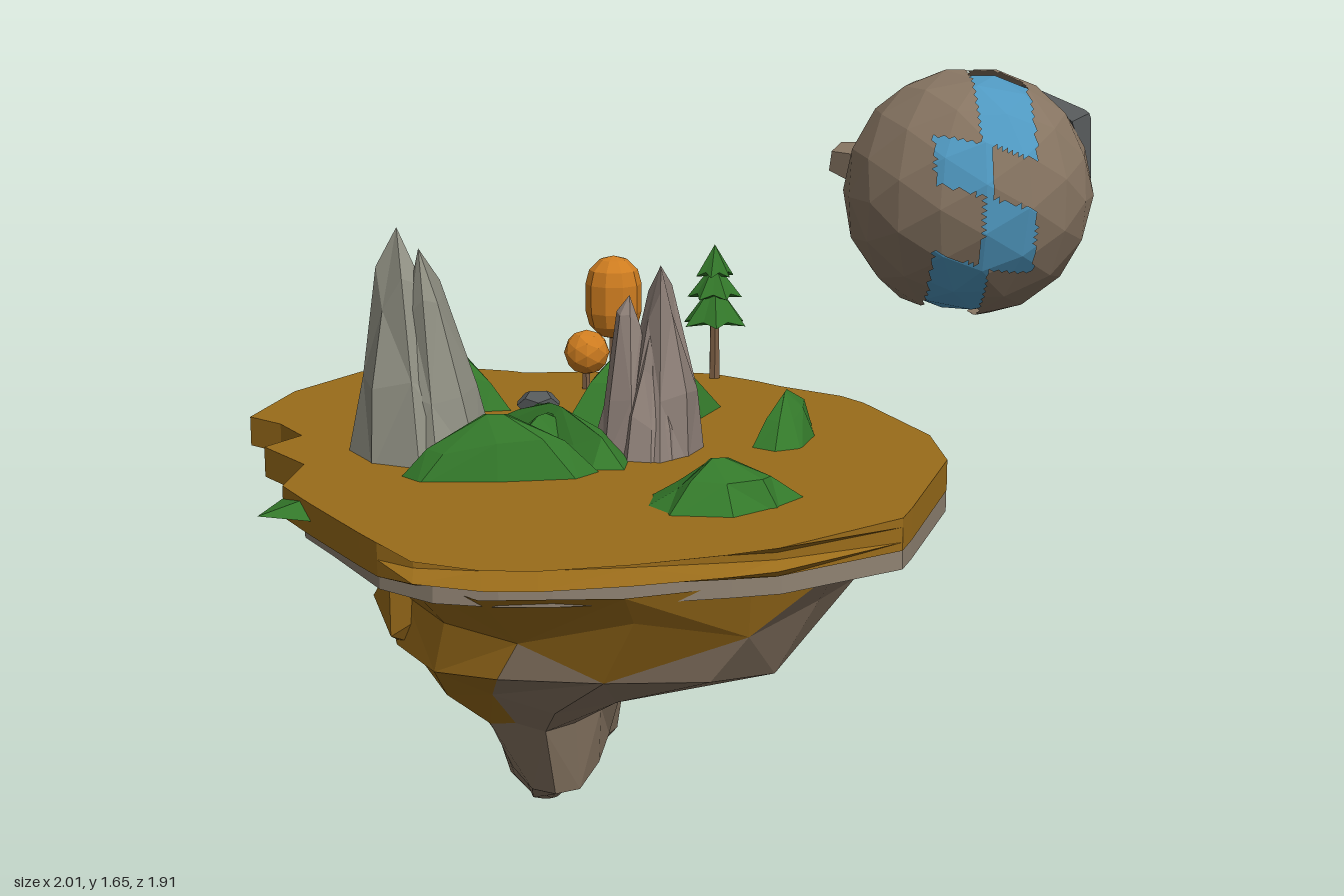
import * as THREE from 'three';

const GROUND = 0.82;
const colors = {
  soil: 0x9a6c1a, stratum: 0x8f8272, rock: 0x877562, grass: 0x33782a, paleStone: 0x8f8f82,
  mauveStone: 0x8d7f77, darkStone: 0x55595a, orange: 0xcf7d20, trunk: 0x7d5f45, water: 0x4f98c0,
};
const mats = {};
for (const k in colors) {
  mats[k] = new THREE.MeshStandardMaterial({ color: colors[k], flatShading: true, side: THREE.DoubleSide });
}

// Seeded jitter in -1..1
let seed = 7;
const jit = () => {
  seed = (seed * 16807) % 2147483647;
  return (seed / 2147483647) * 2 - 1;
};

function add(parent, name, geo, mat, x = 0, y = 0, z = 0) {
  const m = new THREE.Mesh(geo, mats[mat]);
  m.name = name;
  m.position.set(x, y, z);
  parent.add(m);
  return m;
}

// Triangles between closed rings of Vector3; rings run bottom to top, anticlockwise from above
function loftTriangles(rings) {
  const tris = [];
  for (let r = 0; r < rings.length - 1; r++) {
    const a = rings[r], b = rings[r + 1], n = a.length;
    for (let i = 0; i < n; i++) {
      const j = (i + 1) % n;
      if ((i + r) % 2) tris.push([a[i], a[j], b[j]], [a[i], b[j], b[i]]);
      else tris.push([a[i], a[j], b[i]], [a[j], b[j], b[i]]);
    }
  }
  return tris;
}
function toGeometry(tris) {
  const g = new THREE.BufferGeometry().setFromPoints(tris.flat());
  g.computeVertexNormals();
  return g;
}

// Ring with x and z ranges; a power under 1 makes the ellipse squarer
function ring(y, x0, x1, z0, z1, n, wobble, wobbleY = 0, power = 1) {
  const soft = v => Math.sign(v) * Math.abs(v) ** power;
  const pts = [];
  for (let i = 0; i < n; i++) {
    const a = (i / n) * Math.PI * 2, k = 1 + jit() * wobble;
    pts.push(new THREE.Vector3(
      (x0 + x1) / 2 + ((x1 - x0) / 2) * soft(Math.cos(a)) * k,
      y + jit() * wobbleY,
      (z0 + z1) / 2 - ((z1 - z0) / 2) * soft(Math.sin(a)) * k));
  }
  return pts;
}

// Craggy peak with broad faces, closing in a leaning tip
function crag(parent, name, mat, x, z, rx, rz, h, tipX, tipZ) {
  const rings = [[0, 1], [0.35, 0.76], [0.75, 0.36], [1, 0]].map(([t, s]) => {
    const cx = x + (tipX - x) * t, cz = z + (tipZ - z) * t;
    return ring(GROUND - 0.02 + h * t, cx - rx * s, cx + rx * s, cz - rz * s, cz + rz * s, 8, 0.13, t < 1 ? t * 0.08 : 0);
  });
  add(parent, name, toGeometry(loftTriangles(rings)), mat);
}

// Long faceted hill from (x1,z1) to (x2,z2) closing in a sharp crest line
function ridge(parent, x1, z1, x2, z2, w, h) {
  const dx = x2 - x1, dz = z2 - z1, len = Math.hypot(dx, dz);
  const rings = [[0, 1, 1], [0.55, 0.56, 0.52], [1, 0.1, 0]].map(([t, s, sw]) =>
    ring(h * t, -len / 2 * s, len / 2 * s, -w / 2 * sw, w / 2 * sw, 8, 0.15, t < 1 ? t * 0.03 : 0));
  const m = add(parent, 'grassHill', toGeometry(loftTriangles(rings)), 'grass', (x1 + x2) / 2, GROUND - 0.015, (z1 + z2) / 2);
  m.rotation.y = -Math.atan2(dz, dx);
}

// Island outline as x, z
const outline = [
  [-0.65, -0.96], [-0.77, -0.91], [-0.92, -0.68], [-1, -0.4], [-0.92, -0.32], [-0.86, -0.2], [-0.935, -0.09],
  [-0.83, 0.08], [-0.86, 0.27], [-0.79, 0.42], [-0.67, 0.66], [-0.63, 0.735], [-0.555, 0.875], [-0.42, 0.945],
  [-0.31, 0.955], [-0.13, 0.92], [0.06, 0.86], [0.165, 0.815], [0.44, 0.6], [0.47, 0.52], [0.605, 0.11],
  [0.6, -0.13], [0.487, -0.48], [0.44, -0.56], [0.3, -0.68], [0.245, -0.745], [0.14, -0.84], [0.005, -0.875],
  [-0.35, -0.88], [-0.38, -0.9], [-0.49, -0.94], [-0.57, -0.92],
];
// Layer of the island: levels are [y, map from outline point to x, z], bottom to top
function layer(parent, name, mat, levels) {
  const rings = levels.map(([y, map]) => outline.map(p => { const [x, z] = map(p); return new THREE.Vector3(x, y, z); }));
  add(parent, name, toGeometry(loftTriangles(rings)), mat);
  for (const r of [rings[0], rings.at(-1)]) {
    const cap = new THREE.ShapeGeometry(new THREE.Shape(r.map(v => new THREE.Vector2(v.x, -v.z))));
    add(parent, name + 'Face', cap.rotateX(-Math.PI / 2), mat, 0, r[0].y, 0);
  }
}

function buildIsland(parent) {
  // Soil with a rim that is undercut twice at the front, and a stone layer under it
  const front = k => ([x, z]) => [x, z > 0.75 ? 0.75 + (z - 0.75) * k : z];
  const stone = ([x, z]) => [0.605 + (x - 0.605) * 0.97, z > 0.65 ? 0.65 + (z - 0.65) * 0.49 : z * 0.945];
  layer(parent, 'soilPlate', 'soil', [[0.75, front(0.39)], [0.768, front(0.82)], [0.785, front(0.39)], [0.8, front(0.39)], [GROUND, front(1)]]);
  layer(parent, 'stoneLayer', 'stratum', [[0.7, stone], [0.75, stone]]);

  // Hanging keel, wide at the top and narrowing to a long thin foot
  const rings = [
    [0, -0.33, -0.27, -0.03, 0.03], [0.08, -0.38, -0.22, -0.22, 0.18], [0.15, -0.42, -0.14, -0.4, 0.32],
    [0.27, -0.48, -0.12, -0.45, 0.4], [0.38, -0.58, 0.02, -0.5, 0.48], [0.5, -0.65, 0.29, -0.6, 0.68],
    [0.62, -0.66, 0.42, -0.69, 0.75], [0.72, -0.74, 0.46, -0.77, 0.82],
  ].map(([y, ...r], i) => ring(y, ...r, 16, i > 0 ? 0.055 : 0, i > 0 && i < 7 ? 0.035 : 0, i > 3 ? 0.82 : 1));
  const rock = [], soil = [];
  for (const t of loftTriangles(rings)) {
    const c = new THREE.Vector3().add(t[0]).add(t[1]).add(t[2]).divideScalar(3);
    const edge = -0.4 + 0.22 * Math.max(0, c.y - 0.3) + (c.y > 0.56 && c.z > 0 ? 0.35 : 0);
    (c.x < edge + jit() * 0.04 || (c.y > 0.64 && jit() > 0) ? soil : rock).push(t);
  }
  add(parent, 'keelRock', toGeometry(rock), 'rock');
  add(parent, 'keelSoil', toGeometry(soil), 'soil');

  // Lumps bulging from the left side of the keel, one at the front and one at the back
  for (const [name, mat, x, y, z] of [['soilLump', 'soil', -0.54, 0.57, 0.28], ['rockLump', 'rock', -0.46, 0.57, -0.58]]) {
    add(parent, name, new THREE.IcosahedronGeometry(0.14, 0), mat, x, y, z).rotation.set(0.4, 0.3, 0.2);
  }
}

function buildLandscape(parent) {
  crag(parent, 'largeMountain', 'paleStone', -0.57, -0.05, 0.17, 0.2, 0.53, -0.62, -0.05);
  crag(parent, 'largeMountainShoulder', 'paleStone', -0.53, -0.04, 0.125, 0.18, 0.49, -0.57, 0);
  crag(parent, 'smallMountain', 'mauveStone', -0.04, -0.04, 0.105, 0.14, 0.44, -0.03, -0.04);
  crag(parent, 'smallMountainShoulder', 'mauveStone', -0.1, -0.04, 0.085, 0.12, 0.37, -0.1, -0.06);
  crag(parent, 'smallMountainSpur', 'mauveStone', -0.06, 0.04, 0.08, 0.08, 0.32, -0.05, 0);

  for (const h of [
    [-0.68, -0.65, -0.35, -0.42, 0.17, 0.15], [-0.26, -0.1, 0.13, -0.45, 0.18, 0.24],
    [0.22, 0.04, 0.31, -0.35, 0.16, 0.12], [-0.11, 0.48, 0.25, 0.42, 0.26, 0.11],
    [-0.66, 0.2, -0.14, 0.18, 0.18, 0.15], [-0.44, -0.35, -0.1, 0.2, 0.19, 0.11],
    [-0.43, 0.16, -0.17, -0.2, 0.18, 0.1], [-0.42, -0.22, -0.18, -0.22, 0.16, 0.08],
    [-0.73, -0.36, -0.6, -0.2, 0.09, 0.14],
  ]) ridge(parent, ...h);

  // Grass spur poking past the left rim
  const spur = toGeometry(loftTriangles([
    [new THREE.Vector3(-0.9, 0.79, 0.41), new THREE.Vector3(-0.76, 0.78, 0.43), new THREE.Vector3(-0.86, 0.79, 0.26)],
    Array(3).fill(new THREE.Vector3(-0.8, 0.815, 0.36)),
  ]));
  add(parent, 'grassSpur', spur, 'grass');
  add(parent, 'boulder', new THREE.DodecahedronGeometry(0.055), 'darkStone', -0.31, 0.83, -0.47).scale.y = 0.6;
}

function buildTrees(parent) {
  // Conifer with three spiky tiers
  const pine = new THREE.Group();
  pine.name = 'conifer';
  pine.position.set(0.14, GROUND, -0.79);
  add(pine, 'trunk', new THREE.CylinderGeometry(0.012, 0.015, 0.2, 6), 'trunk', 0, 0.08, 0);
  [[0.088, 0.14, 0.11], [0.07, 0.21, 0.09], [0.05, 0.265, 0.08]].forEach(([r, y, h], i) => {
    const star = new THREE.ConeGeometry(r, h, 12);
    const p = star.attributes.position;
    for (let k = 0; k < p.count; k++) {
      const spike = Math.round(Math.atan2(p.getX(k), p.getZ(k)) / (Math.PI / 6)) % 2 ? 0.7 : 1;
      if (p.getY(k) < 0) p.setXYZ(k, p.getX(k) * spike, p.getY(k) + (1 - spike) * 0.04, p.getZ(k) * spike);
    }
    add(pine, 'tier', star, 'grass', 0, y + h / 2, 0).rotation.y = i * 0.4;
  });
  pine.scale.z = 0.8;
  parent.add(pine);

  // Tall rounded tree and its low neighbour
  const autumn = new THREE.Group();
  autumn.name = 'autumnTrees';
  autumn.position.set(-0.12, GROUND, -0.68);
  add(autumn, 'tallTrunk', new THREE.CylinderGeometry(0.012, 0.014, 0.2, 6), 'trunk', 0, 0.08, 0);
  add(autumn, 'tallCrown', new THREE.CapsuleGeometry(0.07, 0.07, 3, 10), 'orange', 0, 0.232, 0);
  add(autumn, 'lowTrunk', new THREE.CylinderGeometry(0.01, 0.012, 0.1, 6), 'trunk', -0.07, 0.03, 0);
  add(autumn, 'lowCrown', new THREE.IcosahedronGeometry(0.057, 1), 'orange', -0.068, 0.093, 0);
  parent.add(autumn);
}

// Split a flat triangle into four, `depth` times over
function split([a, b, c], depth) {
  if (!depth) return [[a, b, c]];
  const mid = (p, q) => p.clone().lerp(q, 0.5);
  const ab = mid(a, b), bc = mid(b, c), ca = mid(c, a);
  return [[a, ab, ca], [ab, b, bc], [ca, bc, c], [ab, bc, ca]].flatMap(t => split(t, depth - 1));
}

function buildPlanet(parent) {
  const planet = new THREE.Group();
  planet.name = 'planet';
  planet.position.set(0.693, 1.37, -0.25);
  const R = 0.29;

  // Water core shows through a channel that steps between two lanes around the crust
  add(planet, 'waterCore', new THREE.IcosahedronGeometry(R - 0.014, 2), 'water');
  const src = new THREE.IcosahedronGeometry(R, 2).attributes.position;
  const crust = [];
  for (let i = 0; i < src.count; i += 3) {
    const face = [0, 1, 2].map(k => new THREE.Vector3().fromBufferAttribute(src, i + k));
    for (const t of split(face, 3)) {
      const c = t[0].clone().add(t[1]).add(t[2]).divideScalar(3);
      const a = THREE.MathUtils.radToDeg(Math.atan2(c.y, c.z)) + c.x * 60;
      const lane = (a > 30 && a < 90) || (a > -28 && a < 6) ? 0.054 : -0.05;
      if (Math.abs(c.x - lane) > 0.062) crust.push(t);
    }
  }
  add(planet, 'crust', toGeometry(crust), 'rock');

  // Pointed peak and a low knob standing out from the crust
  const out = (mesh, dir, r) => {
    const d = new THREE.Vector3(...dir).normalize();
    mesh.position.copy(d).multiplyScalar(r);
    mesh.quaternion.setFromUnitVectors(new THREE.Vector3(0, 1, 0), d);
  };
  out(add(planet, 'planetPeak', new THREE.CylinderGeometry(0.015, 0.16, 0.14, 6), 'darkStone'), [0.307, 0.16, -0.16], 0.31);
  out(add(planet, 'planetKnob', new THREE.CylinderGeometry(0.04, 0.065, 0.1, 5), 'rock'), [-0.25, 0.05, -0.16], 0.295);
  parent.add(planet);
}

export function createModel() {
  seed = 7;
  const model = new THREE.Group();
  model.name = 'floatingIsland';
  buildIsland(model);
  buildLandscape(model);
  buildTrees(model);
  buildPlanet(model);
  return model;
}
